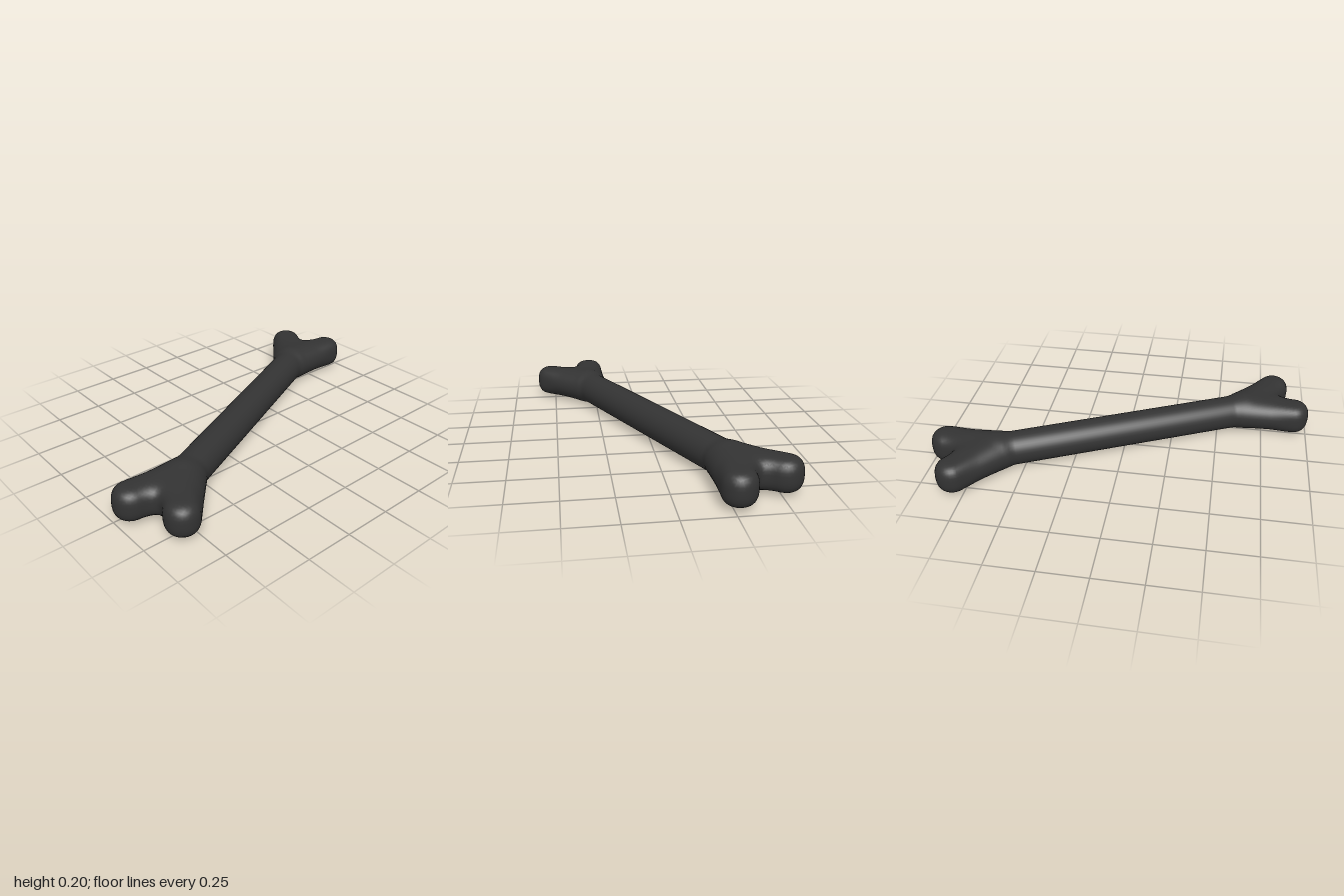
import * as THREE from 'three';

// Bone in its own frame: long axis z, width x, thickness y, mirrored on all three planes
const smooth = THREE.MathUtils.smoothstep;
const smin = (a, b, k) => {
  const h = Math.max(k - Math.abs(a - b), 0) / k;
  return Math.min(a, b) - h * h * k / 4;
};

// Distance to a rod lying flat from (x0, z0) to (x1, z1); p > 2 blunts it vertically
function rod(x, y, z, x0, z0, x1, z1, r, p) {
  const dx = x1 - x0, dz = z1 - z0;
  const t = THREE.MathUtils.clamp(((x - x0) * dx + (z - z0) * dz) / (dx * dx + dz * dz), 0, 1);
  const plan = Math.hypot(x - x0 - t * dx, z - z0 - t * dz);
  return Math.pow(Math.pow(plan, p) + Math.pow(Math.abs(y), p), 1 / p) - r;
}

// Shaft blended into two knuckles at each end
function bone(x, y, z) {
  z = Math.abs(z);
  x = Math.abs(x);
  const p = 2 + 0.8 * smooth(z, 0.8, 0.95);
  const near = rod(x, y, z, 0.03, 0.7, 0.134, 0.948, 0.085, p);
  const far = rod(-x, y, z, 0.03, 0.7, 0.134, 0.948, 0.085, p);
  const fork = smin(near, far, 0.05 + 0.09 * smooth(z, 0.62, 0.92));
  const shaft = rod(x, y, z, 0, -0.1, 0, 0.7, 0.09, 2);
  return smin(fork, shaft, 0.025);
}

function gradient(f, v) {
  const e = 1e-3;
  return new THREE.Vector3(
    f(v.x + e, v.y, v.z) - f(v.x - e, v.y, v.z),
    f(v.x, v.y + e, v.z) - f(v.x, v.y - e, v.z),
    f(v.x, v.y, v.z + e) - f(v.x, v.y, v.z - e)
  ).divideScalar(2 * e);
}

// Skin a distance function: one vertex per crossed cell, pulled onto the surface
function skin(f, half, cell) {
  const n = half.map(h => Math.ceil(2 * h / cell) + 1);
  const step = [1, n[0], n[0] * n[1]];
  const at = (i, a) => -half[a] + i * cell;
  const value = new Float32Array(n[0] * n[1] * n[2]);
  const each = fn => {
    for (let k = 0; k < n[2] - 1; k++)
      for (let j = 0; j < n[1] - 1; j++)
        for (let i = 0; i < n[0] - 1; i++) fn(i, j, k, i + j * step[1] + k * step[2]);
  };
  for (let q = 0; q < value.length; q++) {
    const i = q % n[0], j = Math.floor(q / n[0]) % n[1], k = Math.floor(q / step[2]);
    value[q] = f(at(i, 0), at(j, 1), at(k, 2));
  }

  const position = [], normal = [], index = [], vertex = new Map();
  each((i, j, k, q) => {
    let inside = 0;
    for (let c = 0; c < 8; c++)
      if (value[q + (c & 1) + (c >> 1 & 1) * step[1] + (c >> 2) * step[2]] < 0) inside++;
    if (inside === 0 || inside === 8) return;
    const v = new THREE.Vector3(at(i + 0.5, 0), at(j + 0.5, 1), at(k + 0.5, 2));
    for (let s = 0; s < 5; s++) {
      const g = gradient(f, v);
      v.addScaledVector(g, -f(v.x, v.y, v.z) / Math.max(g.lengthSq(), 0.2));
    }
    vertex.set(q, position.length / 3);
    position.push(v.x, v.y, v.z);
    normal.push(...gradient(f, v).normalize().toArray());
  });

  // A quad around every grid edge that crosses the surface
  each((i, j, k, q) => {
    for (let a = 0; a < 3; a++) {
      const inside = value[q] < 0;
      if (inside === value[q + step[a]] < 0) continue;
      const b = step[(a + 1) % 3], c = step[(a + 2) % 3];
      const quad = [q, q - b, q - b - c, q - c].map(m => vertex.get(m));
      if (!inside) quad.reverse();
      index.push(quad[0], quad[1], quad[2], quad[0], quad[2], quad[3]);
    }
  });

  const geometry = new THREE.BufferGeometry();
  geometry.setAttribute('position', new THREE.Float32BufferAttribute(position, 3));
  geometry.setAttribute('normal', new THREE.Float32BufferAttribute(normal, 3));
  geometry.setIndex(index);
  return geometry;
}

export function createModel() {
  const group = new THREE.Group();
  const material = new THREE.MeshStandardMaterial({ color: 0x333333 });
  const mesh = new THREE.Mesh(skin(bone, [0.27, 0.15, 1.09], 0.0173), material);
  mesh.name = 'bone';
  // Lies flat, turned diagonally
  mesh.rotation.y = 0.433;
  mesh.position.y = 0.107;
  group.add(mesh);
  return group;
}
